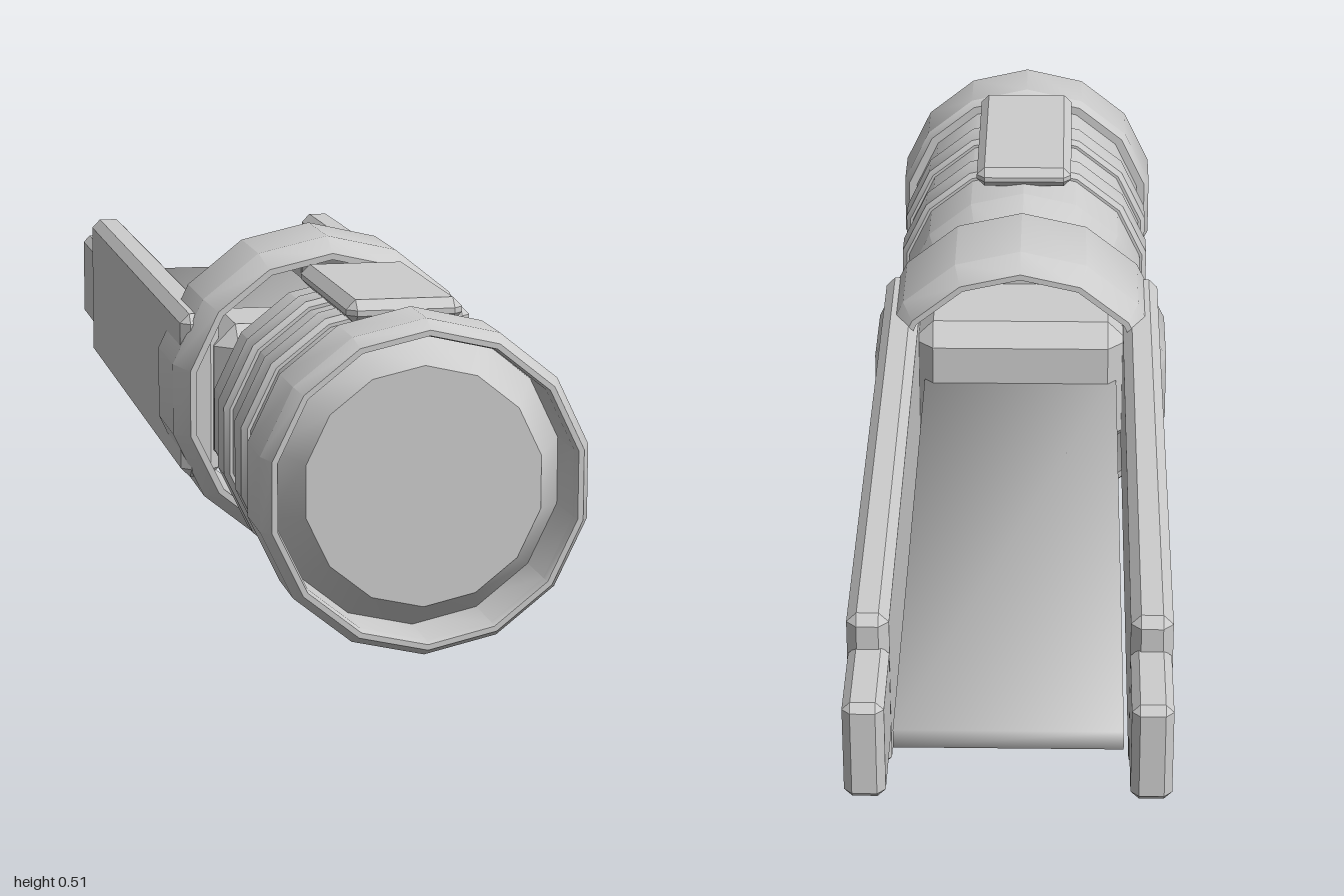
import * as THREE from 'three';
import { toCreasedNormals } from 'three/addons/utils/BufferGeometryUtils.js';
import { ConvexGeometry } from 'three/addons/geometries/ConvexGeometry.js';

const SIDES = 14;
const AXIS = 0.257; // height of the long axis

export function createModel() {
  const model = new THREE.Group();
  const grey = new THREE.MeshStandardMaterial({ color: 0xcccccc });
  grey.name = 'light grey';

  function add(name, geometry, x = 0, y = AXIS, z = 0) {
    const mesh = new THREE.Mesh(geometry, grey);
    mesh.name = name;
    mesh.position.set(x, y, z);
    model.add(mesh);
  }

  // Turned part along z from [radius, z] pairs, listed back to front
  function turned(profile) {
    const points = profile.map(([r, z]) => new THREE.Vector2(r, z));
    const geometry = new THREE.LatheGeometry(points, SIDES).rotateX(Math.PI / 2);
    return toCreasedNormals(geometry, 0.47);
  }

  // Box with chamfered edges
  function chamferBox(w, h, d, c) {
    const points = [];
    for (const sx of [-1, 1]) for (const sy of [-1, 1]) for (const sz of [-1, 1]) {
      const [x, y, z] = [w / 2, h / 2, d / 2];
      points.push(
        new THREE.Vector3(sx * x, sy * (y - c), sz * (z - c)),
        new THREE.Vector3(sx * (x - c), sy * y, sz * (z - c)),
        new THREE.Vector3(sx * (x - c), sy * (y - c), sz * z));
    }
    return new ConvexGeometry(points);
  }

  // Handle with tapered neck and domed front
  add('handle', turned([
    [0, 0.28], [0.17, 0.28], [0.182, 0.325], [0.217, 0.45],
    [0.217, 0.9], [0.173, 0.97], [0, 0.97],
  ]));

  // Hollow end cap
  add('endCap', turned([
    [0.217, 0.86], [0.232, 0.86], [0.241, 0.875], [0.241, 0.975],
    [0.228, 1], [0.22, 1], [0.217, 0.985], [0.217, 0.86],
  ]));

  // Grip rings
  for (const z of [0.585, 0.735]) {
    add('gripRing', turned([
      [0.21, z - 0.035], [0.222, z - 0.035], [0.23, z - 0.027],
      [0.23, z + 0.027], [0.222, z + 0.035], [0.21, z + 0.035],
    ]));
  }

  // Button on top of the grip
  add('topButton', chamferBox(0.17, 0.036, 0.365, 0.014), 0, 0.485, 0.667);

  // Open collar between handle and rails
  add('collar', turned([
    [0.225, 0.08], [0.235, 0.08], [0.257, 0.125], [0.257, 0.28],
    [0.235, 0.325], [0.225, 0.325], [0.225, 0.08],
  ]));

  // Cross block inside the collar
  add('crossBlock', chamferBox(0.37, 0.24, 0.22, 0.035), 0, AXIS, 0.21);

  // Side rails with narrower tips
  for (const side of [-1, 1]) {
    add('sideRail', chamferBox(0.062, 0.266, 1.135, 0.015), side * 0.206, 0.26, -0.2825);
    add('railTip', chamferBox(0.06, 0.16, 0.17, 0.012), side * 0.205, 0.26, -0.915);
  }

  // Flat centre plate with softly averaged corner normals
  const plate = new THREE.BoxGeometry(0.33, 0.03, 1.1);
  const position = plate.attributes.position;
  for (let i = 0; i < position.count; i++) {
    const n = new THREE.Vector3(position.getX(i), position.getY(i), position.getZ(i));
    n.set(Math.sign(n.x), Math.sign(n.y), Math.sign(n.z)).normalize();
    plate.attributes.normal.setXYZ(i, n.x, n.y, n.z);
  }
  add('centrePlate', plate, 0, 0.26, -0.41);

  return model;
}
